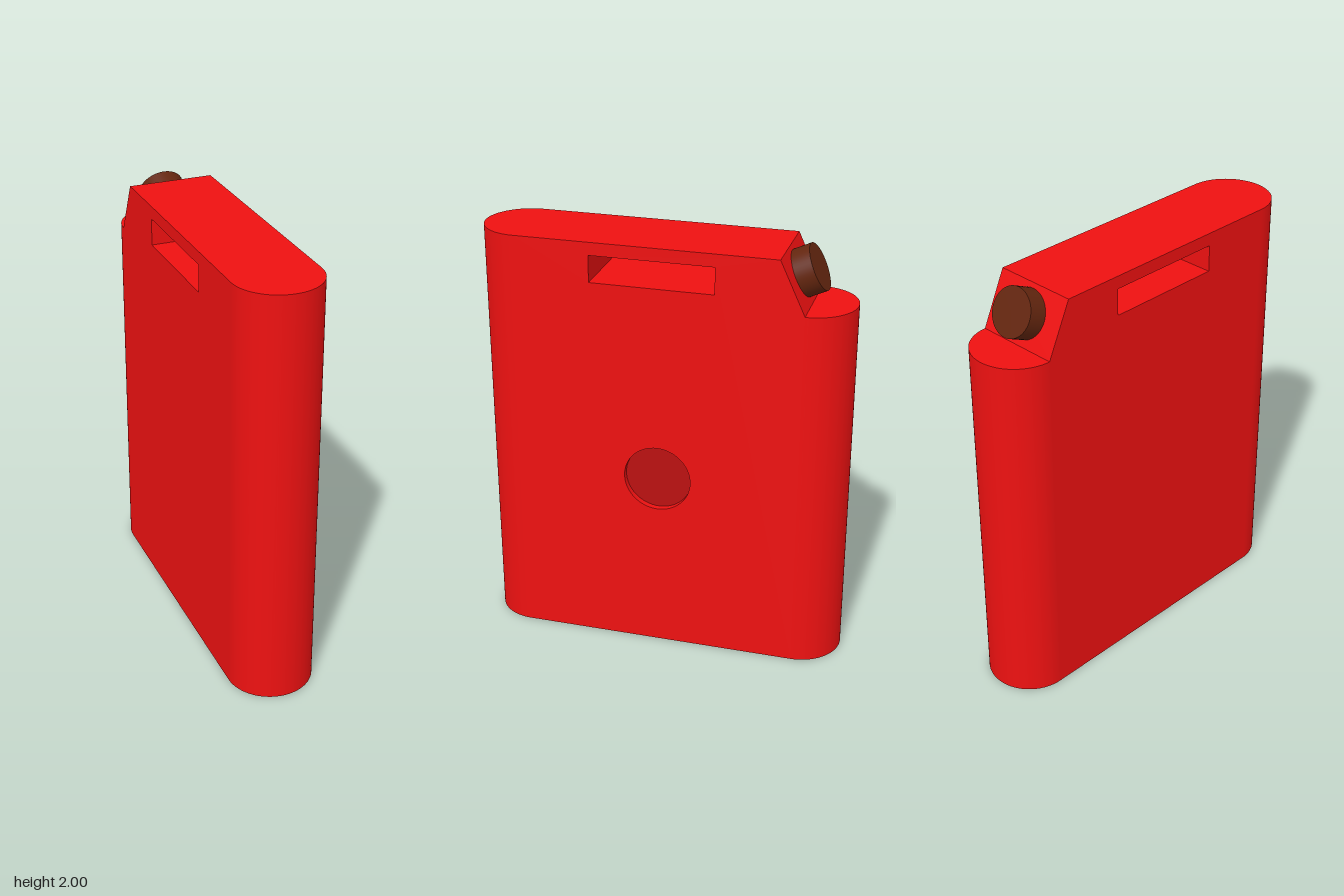
import * as THREE from 'three';

const R = 0.2;           // half thickness, also radius of the rounded ends
const END = 0.657;       // where the flat sides turn into the rounded ends
const TOP = 1.985, LEDGE = 1.74, SLOPE = 0.543;
const DEPTH = 0.03;      // depth of the round recess

const red = new THREE.MeshStandardMaterial({ color: 0xee1111 });
const darkRed = new THREE.MeshStandardMaterial({ color: 0xbb1111 });
const brown = new THREE.MeshStandardMaterial({ color: 0x64260f });

// Side-view drawing coordinates: [-z, y]
const outline = [[-END, 0], [END, 0], [END, LEDGE], [SLOPE, TOP], [-END, TOP]];
const slot = [[-0.31, 1.8], [-0.31, 1.925], [0.26, 1.925], [0.26, 1.8]];
const SEG = 64;
const circle = Array.from({ length: SEG }, (_, i) => {
  const a = -i / SEG * Math.PI * 2;
  return [0.157 * Math.cos(a), 0.872 + 0.157 * Math.sin(a)];
});

// Flat side panel with holes, facing +x (side 1) or -x (side -1)
function panel(points, holes, side, x) {
  const toVec = list => list.map(([u, y]) => new THREE.Vector2(u * side, y));
  const shape = new THREE.Shape(toVec(points));
  holes.forEach(h => shape.holes.push(new THREE.Path(toVec(h))));
  return new THREE.ShapeGeometry(shape).rotateY(side * Math.PI / 2).translate(x, 0, 0);
}

// Strip of quads following a side-view path, spanning x0 to x1
function wall(path, x0, x1) {
  const pos = [];
  for (let i = 0; i < path.length - 1; i++) {
    const [p, q] = [path[i], path[i + 1]];
    pos.push(...p, x0, ...q, x0, ...q, x1, ...p, x0, ...q, x1, ...p, x1);
  }
  const geo = new THREE.BufferGeometry();
  geo.setAttribute('position', new THREE.Float32BufferAttribute(pos, 3));
  geo.computeVertexNormals();
  return geo.rotateY(Math.PI / 2);
}

const closed = path => [...path, path[0]];

export function createModel() {
  const model = new THREE.Group();
  const add = (name, geo, mat = red) => {
    const mesh = new THREE.Mesh(geo, mat);
    mesh.name = name;
    model.add(mesh);
    return mesh;
  };

  // Canister sides, bottom, and top with sloped spout face
  add('leftSide', panel(outline, [slot, circle], 1, R));
  add('rightSide', panel(outline, [slot], -1, -R));
  add('bottom', wall(outline.slice(0, 2), -R, R));
  add('topAndSlope', wall(outline.slice(2), -R, R));

  // Rounded ends: full height in front, lower ledge at the back
  for (const [name, h, z, start] of [
    ['frontEnd', TOP, END, -Math.PI / 2],
    ['backEnd', LEDGE, -END, Math.PI / 2],
  ]) {
    add(name, new THREE.CylinderGeometry(R, R, h, 48, 1, false, start, Math.PI)
      .translate(0, h / 2, z));
  }

  // Handle slot and round recess
  add('handleSlot', wall(closed(slot), -R, R));
  add('recessRim', wall(closed(circle), R - DEPTH, R));
  add('recessFloor', panel([...circle].reverse(), [], 1, R - DEPTH), darkRed);

  // Cap standing square on the sloped face
  const normal = new THREE.Vector3(0, END - SLOPE, -(TOP - LEDGE)).normalize();
  const cap = add('cap', new THREE.CylinderGeometry(0.11, 0.11, 0.09, 48), brown);
  cap.position.set(0, 1.8825, -0.637);
  cap.quaternion.setFromUnitVectors(new THREE.Vector3(0, 1, 0), normal);

  return model;
}
